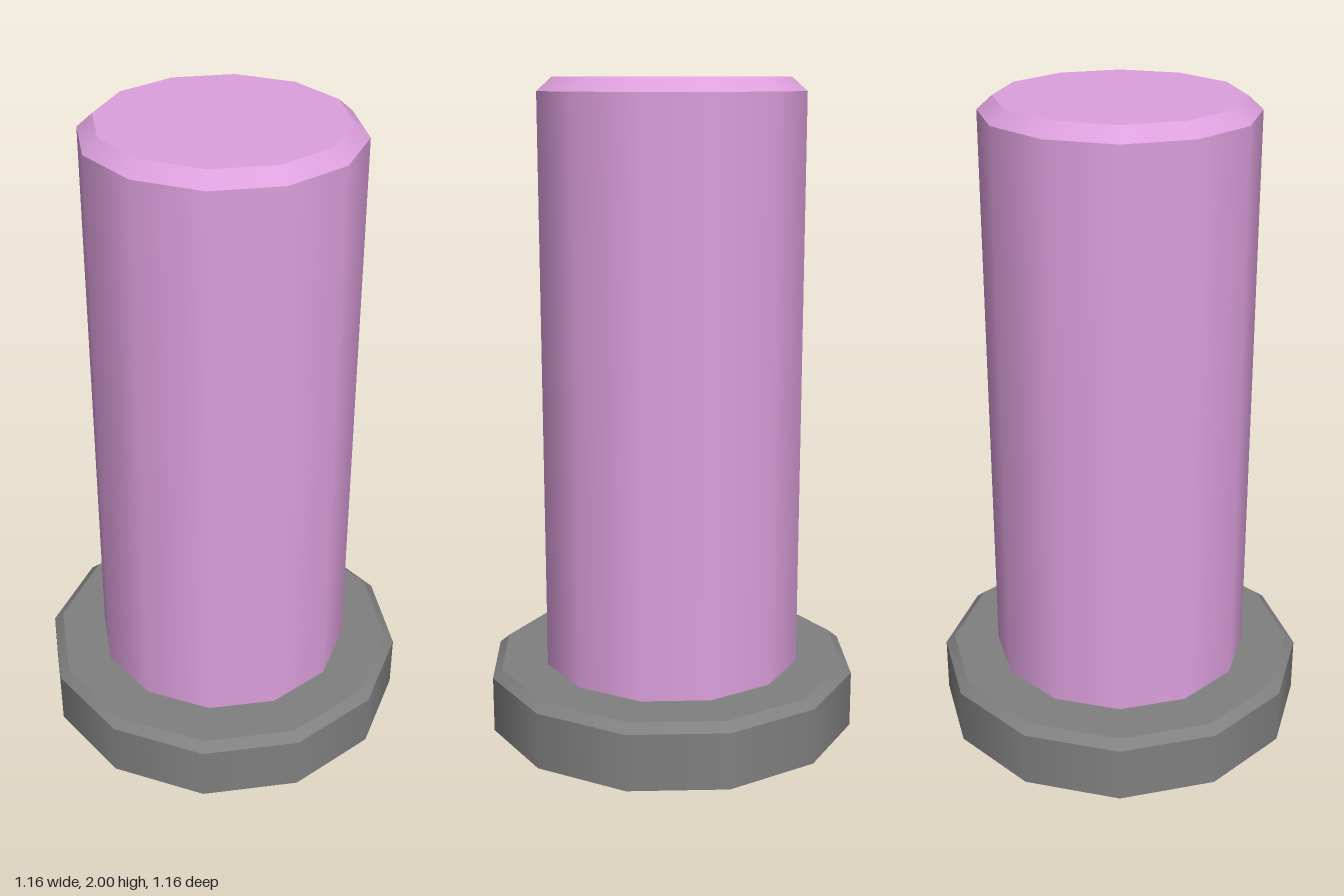
import * as THREE from 'three';

const SIDES = 12;

// Twelve-sided post section: smooth wall, crisp bevel and flat cap, open underneath
function bevelledPost(name, color, radius, capRadius, bottom, shoulder, top) {
  const material = new THREE.MeshStandardMaterial({ color, side: THREE.DoubleSide });
  const group = new THREE.Group();
  group.name = name;

  const addBand = (part, rTop, rBottom, y0, y1) => {
    const geometry = new THREE.CylinderGeometry(rTop, rBottom, y1 - y0, SIDES, 1, true);
    const band = new THREE.Mesh(geometry, material);
    band.position.y = (y0 + y1) / 2;
    band.name = name + part;
    group.add(band);
  };
  addBand('Wall', radius, radius, bottom, shoulder);
  addBand('Bevel', capRadius, radius, shoulder, top);

  const cap = new THREE.Mesh(new THREE.CircleGeometry(capRadius, SIDES).rotateX(-Math.PI / 2), material);
  cap.position.y = top;
  cap.name = name + 'Cap';
  group.add(cap);
  return group;
}

export function createModel() {
  const model = new THREE.Group();
  model.name = 'flangedPost';
  // Wide hollow foot
  model.add(bevelledPost('base', 0x808080, 0.58, 0.55, 0, 0.175, 0.2));
  // Tall shaft standing on the foot
  model.add(bevelledPost('shaft', 0xdda0dd, 0.405, 0.36, 0.2, 1.96, 2));
  return model;
}
